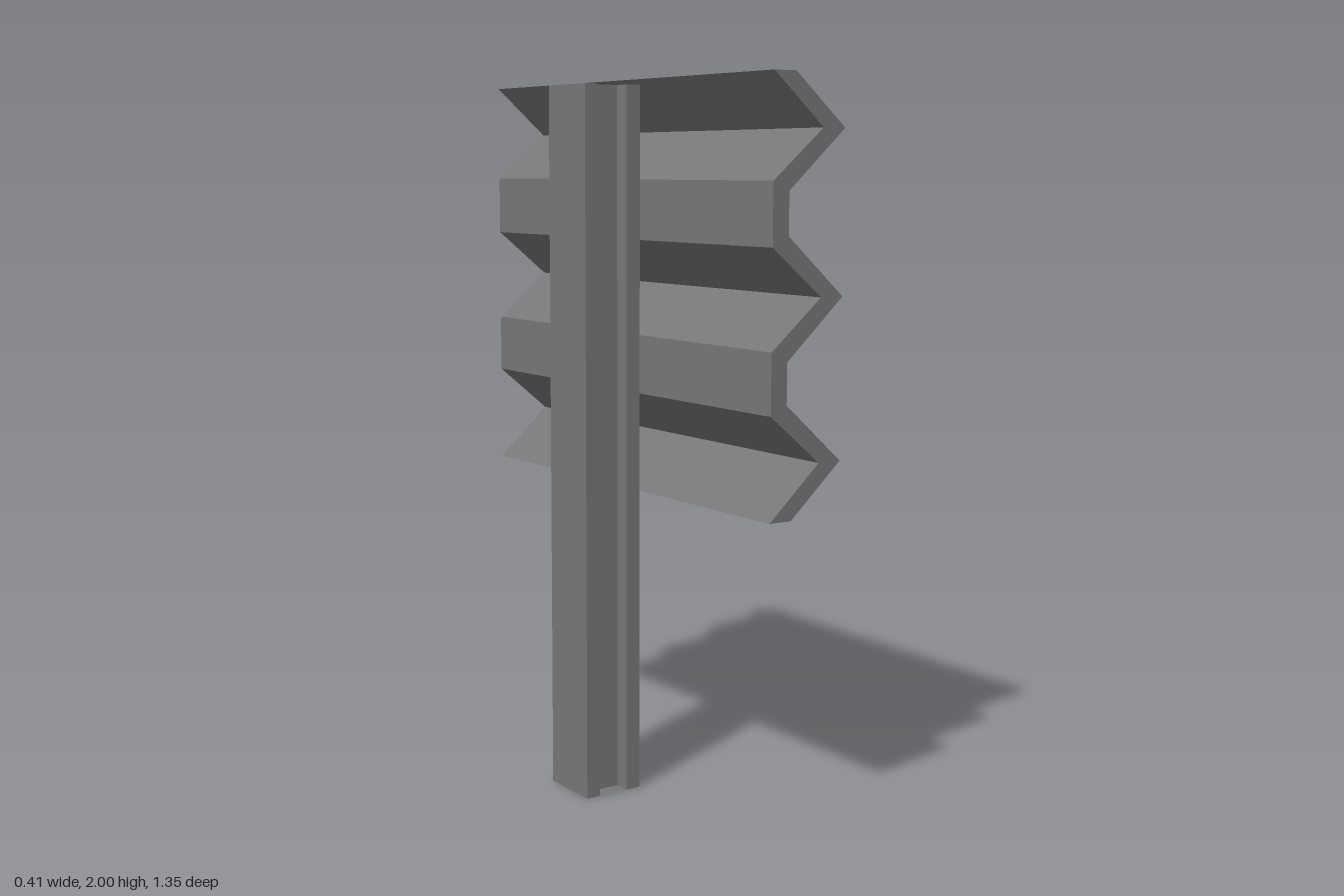
import * as THREE from 'three';
import { ConvexGeometry } from 'three/addons/geometries/ConvexGeometry.js';

const steel = new THREE.MeshStandardMaterial({ color: 0x777777, flatShading: true });
const steelThin = new THREE.MeshStandardMaterial({ color: 0x777777, side: THREE.DoubleSide });
const frameGrey = new THREE.MeshStandardMaterial({ color: 0xcccccc, flatShading: true });
const red = new THREE.MeshStandardMaterial({ color: 0xe81c0e, side: THREE.DoubleSide });

const shapeOf = (pts) => new THREE.Shape(pts.map(([x, y]) => new THREE.Vector2(x, y)));

function add(parent, name, geometry, material) {
  const mesh = new THREE.Mesh(geometry, material);
  mesh.name = name;
  parent.add(mesh);
  return mesh;
}

// Post: I-like section with a groove in the front and the back, closed by thin end plates
function makePost() {
  const post = new THREE.Group();
  post.name = 'post';
  const height = 1.985;
  const [x0, x1, g0, g1] = [-0.205, -0.027, -0.163, -0.071];
  const [back, front, depth] = [-0.093, 0.09, 0.046];
  // Section is drawn in x and -z, then laid flat so that it extrudes upwards
  const section = shapeOf([
    [x0, -front], [g0, -front], [g0, -front + depth], [g1, -front + depth], [g1, -front], [x1, -front],
    [x1, -back], [g1, -back], [g1, -back - depth], [g0, -back - depth], [g0, -back], [x0, -back],
  ]);
  const body = new THREE.ExtrudeGeometry(section, { depth: height, bevelEnabled: false });
  add(post, 'postBody', body.rotateX(-Math.PI / 2), steel);

  const plate = shapeOf([
    [x0, -front], [x1, -front], [x1, -back], [g1, -back],
    [g1 - 0.022, -back - depth], [g0 + 0.022, -back - depth], [g0, -back], [x0, -back],
  ]);
  for (const [name, y] of [['postBottom', 0], ['postTop', height]]) {
    add(post, name, new THREE.ShapeGeometry(plate).rotateX(-Math.PI / 2), steelThin).position.y = y;
  }
  return post;
}

// Rail: three-ridged corrugated strip running along z
function makeRail() {
  const outer = [
    [0.042, 2], [0.203, 1.862], [0.024, 1.705], [0.024, 1.592], [0.203, 1.435],
    [0.024, 1.275], [0.024, 1.165], [0.203, 1.008], [0.042, 0.865],
  ];
  const inner = [
    [-0.027, 0.865], [0.132, 1.008], [-0.027, 1.14], [-0.027, 1.303], [0.132, 1.435],
    [-0.027, 1.565], [-0.027, 1.73], [0.132, 1.862], [-0.027, 2],
  ];
  const geometry = new THREE.ExtrudeGeometry(shapeOf([...outer, ...inner]), { depth: 1.35, bevelEnabled: false });
  return geometry.translate(0, 0, -0.675);
}

// Reflector: wedge with a vertical ridge, a red panel on each flank and a mount behind
function makeReflector() {
  const reflector = new THREE.Group();
  reflector.name = 'reflector';
  const ridge = { x: 0.157, z: 0, h: 0.119 };
  const wing = { x: 0.058, z: 0.095, h: 0.06 };
  const corners = [];
  for (const s of [1, -1]) {
    corners.push(new THREE.Vector3(ridge.x, s * ridge.h, 0));
    for (const side of [1, -1]) corners.push(new THREE.Vector3(wing.x, s * wing.h, side * wing.z));
  }
  add(reflector, 'reflectorFrame', new ConvexGeometry(corners), frameGrey);
  add(reflector, 'reflectorMount', new THREE.BoxGeometry(0.06, 0.09, 0.16), frameGrey).position.x = 0.04;

  for (const side of [1, -1]) {
    // Points at fraction t from wing to ridge, lifted slightly off the frame
    const at = (t, s) => [
      THREE.MathUtils.lerp(wing.x, ridge.x, t) + 0.002,
      s * (THREE.MathUtils.lerp(wing.h, ridge.h, t) - 0.013),
      side * (THREE.MathUtils.lerp(wing.z, 0, t) + 0.002),
    ];
    const panel = new THREE.BufferGeometry();
    const points = [at(0.08, -1), at(0.92, -1), at(0.92, 1), at(0.08, 1)];
    panel.setAttribute('position', new THREE.Float32BufferAttribute(points.flat(), 3));
    panel.setIndex(side > 0 ? [0, 1, 2, 0, 2, 3] : [0, 2, 1, 0, 3, 2]);
    panel.computeVertexNormals();
    add(reflector, side > 0 ? 'leftRedPanel' : 'rightRedPanel', panel, red);
  }
  return reflector;
}

export function createModel() {
  const model = new THREE.Group();
  model.name = 'guardRailSection';
  model.add(makePost());
  add(model, 'rail', makeRail(), steel);
  for (const y of [1.648, 1.22]) {
    const reflector = makeReflector();
    reflector.position.y = y;
    model.add(reflector);
  }
  return model;
}
